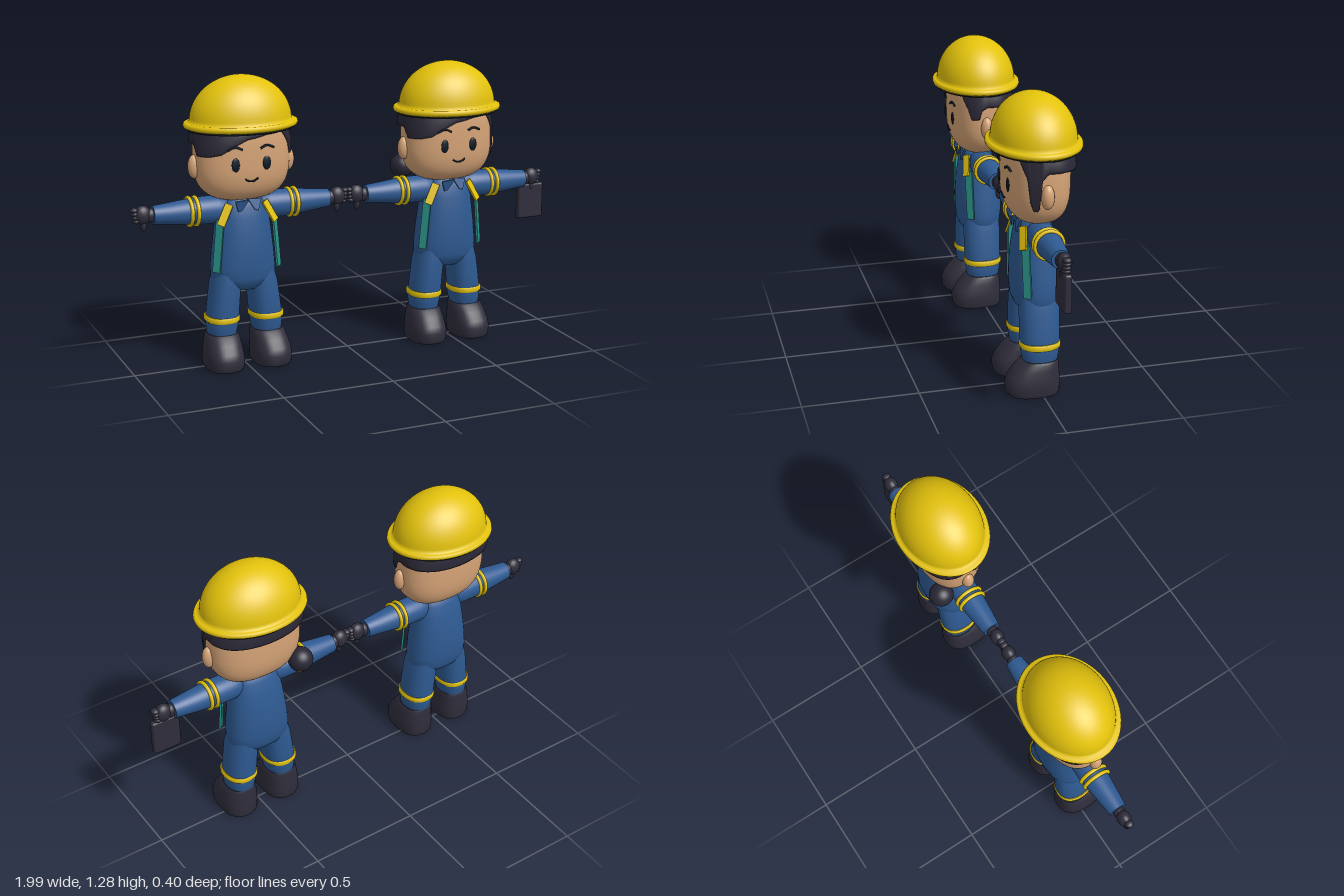
import * as THREE from 'three';
import { RoundedBoxGeometry } from 'three/addons/geometries/RoundedBoxGeometry.js';

const mat = (name, color, side = THREE.FrontSide) => {
  const m = new THREE.MeshStandardMaterial({ color, side });
  m.name = name;
  return m;
};

// closed rings of [x, y, z] points, listed upwards, joined into a smooth skin
function skin(rows, caps = true) {
  const n = rows[0].length, pos = rows.flat(2), idx = [];
  for (let j = 0; j < rows.length - 1; j++) for (let i = 0; i < n; i++) {
    const k = (i + 1) % n, a = j * n, b = a + n;
    idx.push(a + i, b + i, a + k, a + k, b + i, b + k);
  }
  if (caps) [rows[0], rows[rows.length - 1]].forEach((ring, top) => {
    const base = pos.length / 3;
    const mid = [0, 1, 2].map(c => ring.reduce((s, p) => s + p[c], 0) / n);
    pos.push(...ring.flat(), ...mid);
    for (let i = 0; i < n; i++) {
      const k = (i + 1) % n;
      idx.push(base + n, base + (top ? k : i), base + (top ? i : k));
    }
  });
  const g = new THREE.BufferGeometry();
  g.setAttribute('position', new THREE.Float32BufferAttribute(pos, 3));
  g.setIndex(idx);
  g.computeVertexNormals();
  return g;
}

const spow = (v, e) => Math.sign(v) * Math.abs(v) ** e;
const ringOf = (y, cx, rx, cz, rz, exp = 2, n = 40) => Array.from({ length: n }, (_, i) => {
  const a = i / n * Math.PI * 2;
  return [cx + rx * spow(Math.cos(a), 2 / exp), y, cz + rz * spow(Math.sin(a), 2 / exp)];
});
// sections: [y, centre x, radius x, centre z, radius z]
const loft = (sections, exp) => skin(sections.map(s => ringOf(...s, exp)));

// head shape
const HY = 0.95, HH = 0.205, HX = 0.213, HZ = 0.135, HC = -0.004, HE = 2.4;
const headR = y => Math.cbrt(Math.max(0, 1 - Math.abs((y - HY) / HH) ** 3));
const faceZ = (x, y) => HC + HZ * headR(y) * (1 - Math.abs(x / (HX * headR(y))) ** HE) ** (1 / HE);

function headGeometry() {
  const rows = [];
  for (let j = 0; j <= 32; j++) {
    const p = (j / 32 - 0.5) * Math.PI * 0.996;
    const r = Math.cos(p) ** (2 / 3);
    rows.push(ringOf(HY + HH * spow(Math.sin(p), 2 / 3), 0, HX * r, HC, HZ * r, HE, 64));
  }
  return skin(rows);
}

// hair shell whose lower edge follows [degrees, height] points; 0 is the left side, 90 the front
function hairGeometry(edge) {
  const n = 180, rows = [[], [], [], [], []];
  for (let i = 0; i < n; i++) {
    const d = i / n * 360, a = d * Math.PI / 180;
    const k = edge.findIndex(e => e[0] > d), [d0, y0] = edge[k - 1], [d1, y1] = edge[k];
    const low = y0 + (y1 - y0) * (d - d0) / (d1 - d0);
    const puff = 1.04 + 0.13 * Math.max(0, -Math.sin(a));
    [[low, 0.97], [low, puff - 0.015], [low + 0.01, puff], [(low + 1.08) / 2, puff], [1.08, puff]].forEach(([y, s], j) => {
      const r = headR(y) * s;
      rows[j].push([HX * r * spow(Math.cos(a), 2 / HE), y, HC + HZ * r * spow(Math.sin(a), 2 / HE)]);
    });
  }
  return skin(rows, false);
}

export function createModel() {
  const M = {
    skin: mat('skin', 0xd6a477), yellow: mat('safety yellow', 0xe3c20c),
    blue: mat('overall blue', 0x2e5a92), dark: mat('charcoal', 0x2f2d3b),
    hair: mat('hair', 0x292735, THREE.DoubleSide), ink: mat('ink navy', 0x0a1824),
    teal: mat('strap teal', 0x2b958c),
  };

  function worker(name, cx, edge) {
    const g = new THREE.Group();
    g.name = name;
    g.position.x = cx;
    const add = (part, geo, m, x = 0, y = 0, z = 0) => {
      const mesh = new THREE.Mesh(geo, m);
      mesh.name = part;
      mesh.position.set(x, y, z);
      g.add(mesh);
      return mesh;
    };
    const ball = (part, m, x, y, z, rx, ry, rz) =>
      add(part, new THREE.SphereGeometry(1, 28, 18), m, x, y, z).scale.set(rx, ry, rz);
    const line = (part, pts, r) => add(part, new THREE.TubeGeometry(new THREE.CatmullRomCurve3(
      pts.map(([x, y]) => new THREE.Vector3(x, y, faceZ(x, y) + 0.003))), 16, r, 6), M.ink);
    // flat strip from point a to point b, facing the normal
    const strip = (part, m, a, b, w, normal) => {
      const A = new THREE.Vector3(...a), B = new THREE.Vector3(...b);
      const Y = B.clone().sub(A), len = Y.length();
      Y.normalize();
      const X = Y.clone().cross(new THREE.Vector3(...normal)).normalize();
      const mesh = add(part, new THREE.BoxGeometry(w, len, 0.009), m);
      mesh.quaternion.setFromRotationMatrix(new THREE.Matrix4().makeBasis(X, Y, X.clone().cross(Y)));
      mesh.position.copy(A.add(B).multiplyScalar(0.5));
    };

    // head, hair and face
    add('head', headGeometry(), M.skin);
    add('hair', hairGeometry(edge), M.hair);
    line('mouth', [[-0.03, 0.858], [-0.015, 0.848], [0, 0.845], [0.015, 0.848], [0.03, 0.858]], 0.004);
    for (const s of [-1, 1]) {
      ball('ear', M.skin, s * 0.213, 0.902, 0, 0.028, 0.052, 0.027);
      ball('eye', M.ink, s * 0.07, 0.92, faceZ(0.07, 0.92) + 0.002, 0.018, 0.03, 0.005);
      line('eyebrow', [[s * 0.04, 0.985], [s * 0.07, 0.997], [s * 0.105, 0.984]], 0.005);
    }

    // hard hat with rolled brim
    const hat = [[0.19, 1.064], [0.238, 1.062], [0.249, 1.068], [0.252, 1.077], [0.249, 1.086], [0.24, 1.09], [0.226, 1.09]];
    for (let i = 1; i <= 20; i++) {
      const t = i / 20 * Math.PI / 2;
      hat.push([0.224 * Math.cos(t), 1.09 + 0.195 * Math.sin(t)]);
    }
    add('hardHat', new THREE.LatheGeometry(hat.map(p => new THREE.Vector2(Math.max(0, p[0]), p[1])), 64), M.yellow).scale.z = 0.79;
    add('hatLining', new THREE.CylinderGeometry(0.236, 0.232, 0.012, 64), M.ink, 0, 1.06, 0).scale.z = 0.79;

    // overalls
    add('torso', loft([[0.345, 0, 0.09, -0.004, 0.06], [0.37, 0, 0.125, -0.005, 0.085], [0.4, 0, 0.144, -0.006, 0.098],
      [0.45, 0, 0.144, -0.007, 0.104], [0.52, 0, 0.137, -0.006, 0.105], [0.6, 0, 0.127, -0.004, 0.098],
      [0.67, 0, 0.118, -0.002, 0.086], [0.72, 0, 0.108, 0, 0.074], [0.75, 0, 0.085, 0, 0.06], [0.765, 0, 0.05, 0, 0.04]], 2.3), M.blue);
    const flap = new THREE.Shape([[0, 0.045], [0.062, 0.04], [0.045, -0.01], [0.03, -0.005]].map(p => new THREE.Vector2(...p)));
    for (const s of [-1, 1]) {
      const collar = add('collarFlap', new THREE.ExtrudeGeometry(flap, { depth: 0.009, bevelEnabled: false }), M.blue,
        s < 0 ? 0 : 0.066, 0.712, 0.076);
      collar.position.x = 0;
      if (s < 0) { collar.rotation.y = Math.PI; collar.position.z += 0.009; }
      collar.rotation.x = s * -0.25;

      // legs, bands and boots
      add('leg', loft([[0.13, s * 0.104, 0.06, -0.003, 0.07], [0.155, s * 0.104, 0.064, -0.003, 0.076], [0.2, s * 0.102, 0.071, -0.003, 0.084],
        [0.28, s * 0.094, 0.069, -0.003, 0.085], [0.37, s * 0.084, 0.067, -0.004, 0.086], [0.43, s * 0.075, 0.06, -0.005, 0.08]], 2.3), M.blue);
      add('legBand', loft([[0.205, s * 0.102, 0.072, -0.003, 0.084], [0.21, s * 0.102, 0.077, -0.003, 0.088],
        [0.226, s * 0.102, 0.077, -0.003, 0.088], [0.231, s * 0.101, 0.072, -0.003, 0.084]], 2.3), M.yellow);
      add('boot', loft([[0, s * 0.11, 0.078, 0.028, 0.108], [0.012, s * 0.11, 0.084, 0.031, 0.115], [0.05, s * 0.11, 0.086, 0.032, 0.117],
        [0.08, s * 0.11, 0.083, 0.027, 0.111], [0.115, s * 0.108, 0.077, 0.015, 0.097], [0.14, s * 0.106, 0.073, 0.003, 0.083],
        [0.15, s * 0.105, 0.066, -0.002, 0.074]], 2.5), M.dark);

      // sleeve, bands and gloved hand
      const sleeve = add('sleeve', loft([[0.05, 0, 0.04, 0, 0.035], [0.085, 0, 0.054, 0, 0.052], [0.12, 0, 0.061, 0, 0.06],
        [0.2, 0, 0.06, 0, 0.06], [0.26, 0, 0.055, 0, 0.055], [0.33, 0, 0.047, 0, 0.048], [0.402, 0, 0.04, 0, 0.04]]), M.blue, 0, 0.707, 0);
      sleeve.rotation.z = -s * Math.PI / 2;
      for (const x of [0.213, 0.241])
        add('sleeveBand', new THREE.TorusGeometry(0.06, 0.0085, 10, 40), M.yellow, s * x, 0.707, 0).rotation.y = Math.PI / 2;
      ball('wrist', M.dark, s * 0.412, 0.707, 0, 0.03, 0.032, 0.027);
      ball('palm', M.dark, s * 0.446, 0.712, 0, 0.038, 0.042, 0.03);
      for (let i = 0; i < 4; i++)
        ball('finger', M.dark, s * (0.482 - 0.003 * i), 0.735 - 0.016 * i, 0, 0.018, 0.012, 0.019);
      ball('thumb', M.dark, s * 0.444, 0.67, 0.004, 0.014, 0.031, 0.016);

      // harness strap down each front corner
      strip('strapTop', M.yellow, [s * 0.125, 0.65, 0.079], [s * 0.08, 0.738, 0.066], 0.035, [s * 0.6, 0, 0.8]);
      strip('strapTail', M.teal, [s * 0.143, 0.44, 0.062], [s * 0.123, 0.67, 0.066], 0.036, [s * 0.72, 0, 0.69]);
    }
    return { g, add, ball };
  }

  // hairlines: swept fringe, sideburns and higher back
  const fringe = [[48, 1.045], [75, 1.04], [92, 1.025], [112, 0.985], [122, 0.965], [140, 0.955], [165, 0.955], [176, 1.0], [205, 1.0], [270, 0.985], [335, 1.0], [361, 1.0]];
  const model = new THREE.Group();
  model.name = 'twoWorkers';
  const first = worker('shortHairedWorker', -0.496, [[0, 1.0], [8, 0.985], [12, 0.945], [27, 0.94], [34, 0.99], ...fringe]);
  const second = worker('longHairedWorker', 0.489, [[0, 1.0], [9, 0.97], [11, 0.86], [15, 0.838], [22, 0.84], [28, 0.88], [33, 0.98], ...fringe]);

  // low hair bun and tablet
  second.ball('hairBun', M.hair, -0.168, 0.795, -0.113, 0.055, 0.055, 0.055);
  second.add('tablet', new RoundedBoxGeometry(0.13, 0.165, 0.032, 3, 0.01), M.dark, 0.442, 0.598, 0);
  model.add(first.g, second.g);
  return model;
}
